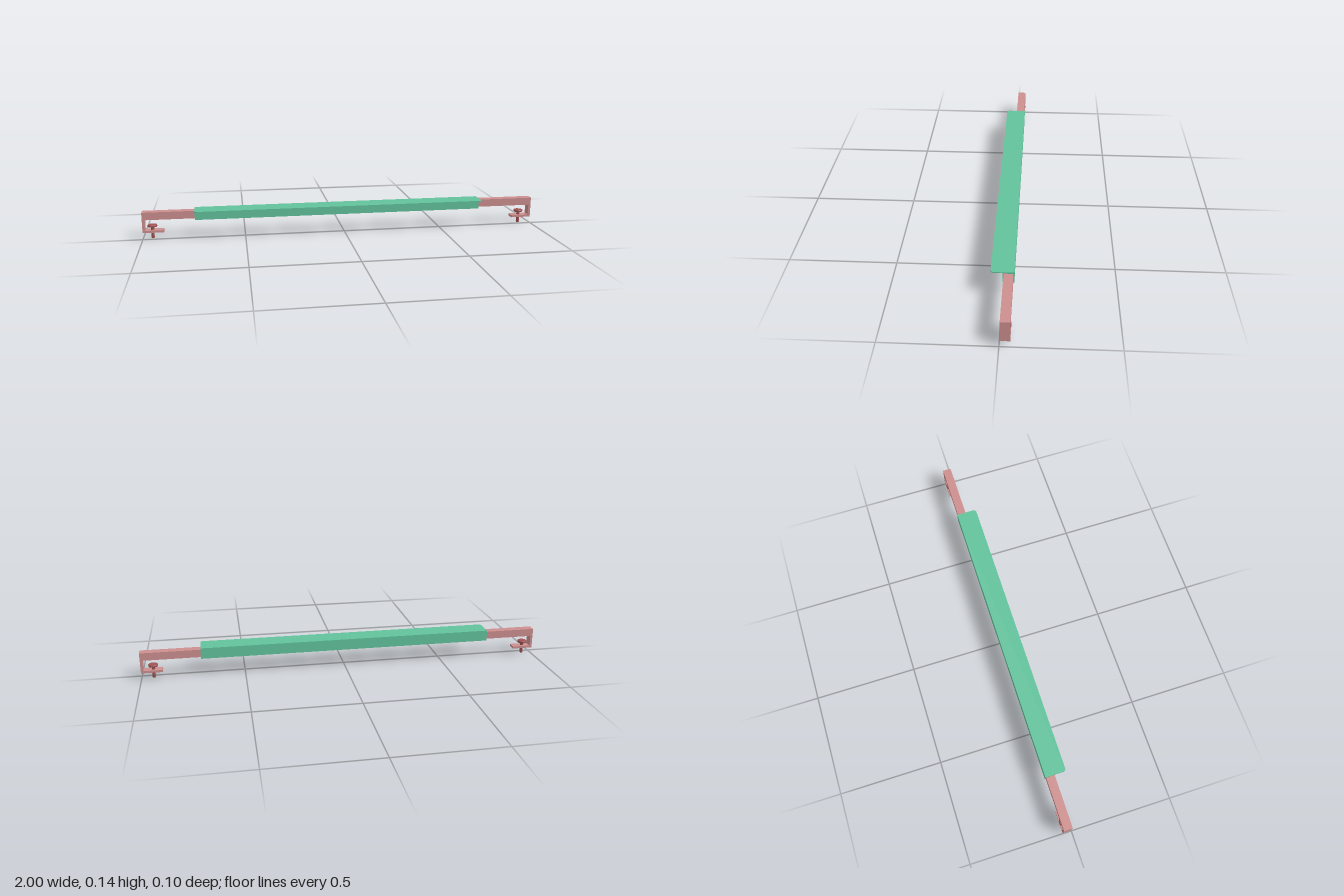
import * as THREE from 'three';

const GREEN = new THREE.MeshStandardMaterial({ color: 0x62c29c });
const PINK = new THREE.MeshStandardMaterial({ color: 0xcc8e8e });
const DARK = new THREE.MeshStandardMaterial({ color: 0xa05252 });

const X0 = -0.745, X1 = 0.711; // ends of the sleeve
const ZC = -0.025;             // centre line of bar, sleeve and screws

function add(parent, name, geometry, material) {
  const mesh = new THREE.Mesh(geometry, material);
  mesh.name = name;
  parent.add(mesh);
  return mesh;
}

function rect(Path, x0, y0, x1, y1) {
  const p = new Path();
  p.moveTo(x0, y0).lineTo(x1, y0).lineTo(x1, y1).lineTo(x0, y1).closePath();
  return p;
}

// Hollow square sleeve running along x
function sleeveGeometry() {
  const shape = rect(THREE.Shape, -0.025, 0.089, 0.025, 0.139);
  shape.holes.push(rect(THREE.Path, -0.022, 0.092, 0.022, 0.136));
  const g = new THREE.ExtrudeGeometry(shape, { depth: X1 - X0, bevelEnabled: false });
  return g.rotateY(Math.PI / 2).translate(X0, 0, ZC);
}

// Thin top plate, overhanging to the front, with rounded front corners
function plateGeometry() {
  const r = 0.014, front = -0.052, back = 0.05;
  const s = new THREE.Shape();
  s.moveTo(X0 + r, front).lineTo(X1 - r, front);
  s.absarc(X1 - r, front + r, r, -Math.PI / 2, 0, false);
  s.lineTo(X1, back).lineTo(X0, back).lineTo(X0, front + r);
  s.absarc(X0 + r, front + r, r, Math.PI, Math.PI * 1.5, false);
  const g = new THREE.ExtrudeGeometry(s, { depth: 0.004, bevelEnabled: false, curveSegments: 6 });
  return g.rotateX(-Math.PI / 2).translate(0, 0.139, 0);
}

// Bar with a C-shaped clamp hook at its outer end
function armGeometry(side) {
  const pts = [[0.45, 0.097], [0.988, 0.097], [0.988, 0.043], [0.897, 0.043],
    [0.897, 0.032], [1, 0.032], [1, 0.135], [0.45, 0.135]];
  const s = new THREE.Shape(pts.map(([x, y]) => new THREE.Vector2(side * x, y)));
  const g = new THREE.ExtrudeGeometry(s, { depth: 0.042, bevelEnabled: false });
  return g.translate(0, 0, ZC - 0.021);
}

// Clamp screw: threaded shank with chamfered tip, and a round pressure pad
function clampScrew(x) {
  const group = new THREE.Group();
  group.name = 'clampScrew';
  const profile = (pts) => new THREE.LatheGeometry(pts.map(([r, y]) => new THREE.Vector2(r, y)), 20);
  const shank = [[0, 0], [0.006, 0], [0.006, 0], [0.008, 0.003], [0.008, 0.003], [0.008, 0.06]];
  const pad = [[0, 0.058], [0.021, 0.058], [0.021, 0.058], [0.0235, 0.061], [0.0235, 0.061],
    [0.0235, 0.066], [0.0235, 0.066], [0.021, 0.069], [0.021, 0.069], [0, 0.069]];
  add(group, 'screwShank', profile(shank), DARK);
  add(group, 'pressurePad', profile(pad), DARK);
  group.position.set(x, 0, ZC);
  return group;
}

export function createModel() {
  const model = new THREE.Group();
  model.name = 'clampRail';
  add(model, 'sleeve', sleeveGeometry(), GREEN);
  add(model, 'topPlate', plateGeometry(), GREEN);
  for (const [name, side, screwX] of [['left', 1, 0.941], ['right', -1, -0.953]]) {
    add(model, name + 'ClampArm', armGeometry(side), PINK);
    model.add(clampScrew(screwX));
  }
  return model;
}
